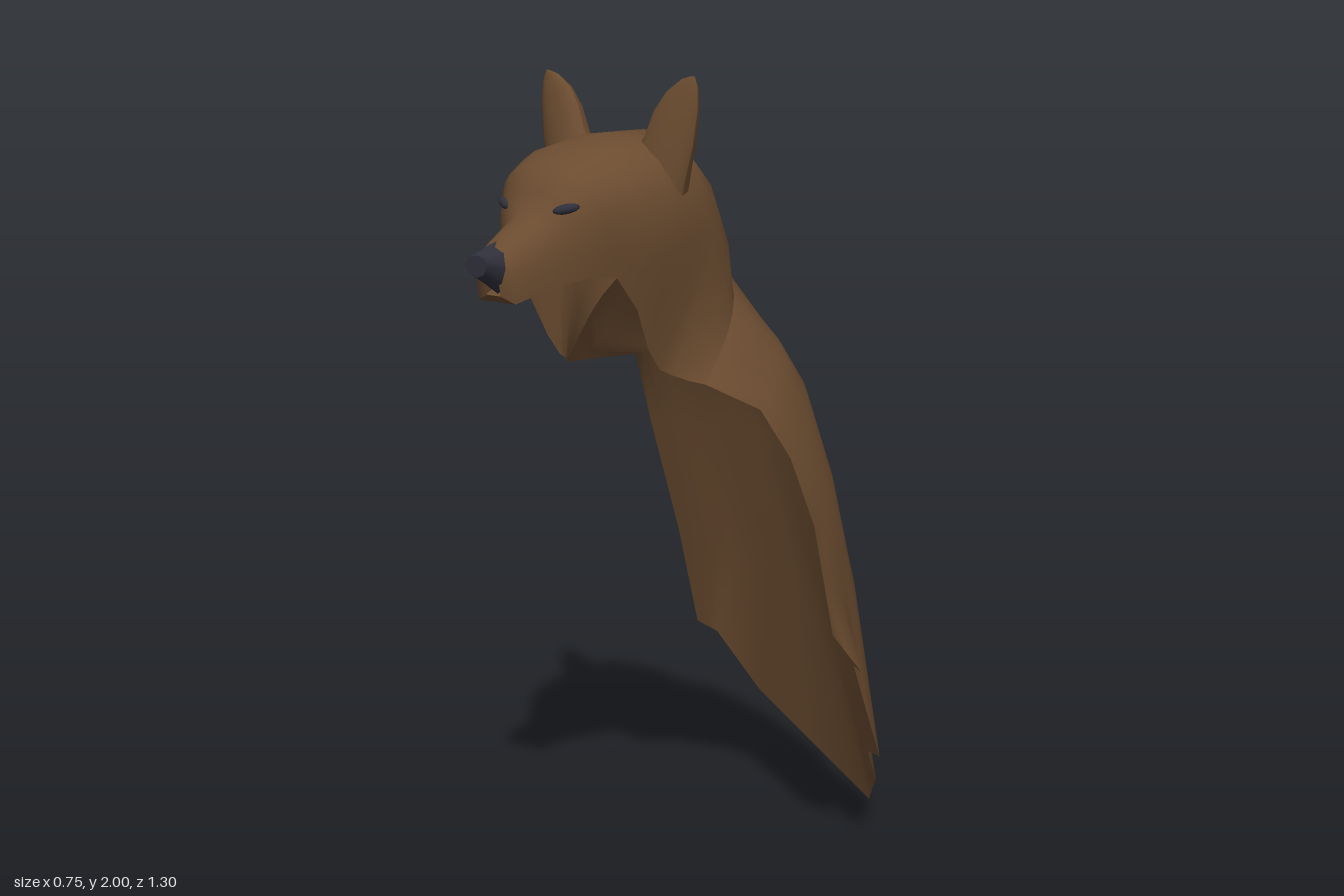
import * as THREE from 'three';

const fur = new THREE.MeshStandardMaterial({ color: 0x6b4c30, side: THREE.DoubleSide });
fur.name = 'brown fur';
const dark = new THREE.MeshStandardMaterial({ color: 0x30303c });
dark.name = 'dark nose and eyes';

const COLS = 18;
const V = (x, y, z) => new THREE.Vector3(x, y, z);

// Smooth open skin through rows of points
function loft(name, rows) {
  const n = rows[0].length, index = [];
  for (let i = 0; i < rows.length - 1; i++) {
    for (let j = 0; j < n - 1; j++) {
      const a = i * n + j, b = a + 1, c = a + n, d = c + 1;
      index.push(a, b, c, b, d, c);
    }
  }
  const geo = new THREE.BufferGeometry().setFromPoints(rows.flat());
  geo.setIndex(index);
  geo.computeVertexNormals();
  const mesh = new THREE.Mesh(geo, fur);
  mesh.name = name;
  return mesh;
}

// The head is turned slightly: dx is the distance from its own middle line
function headPoint(dx, y, z) {
  return V(-0.085 - 0.06 * z + dx, y, z + 0.08 * dx);
}

// Hood arches from nose to neck: ridge z, ridge y, edge z, edge y, half width, cheek bulge
const arches = [
  [0.605, 1.6, 0.6, 1.55, 0.02, 0],
  [0.6, 1.655, 0.59, 1.535, 0.055, 0.1],
  [0.5, 1.71, 0.5, 1.56, 0.075, 0.1],
  [0.475, 1.76, 0.43, 1.578, 0.12, 0.1],
  [0.44, 1.815, 0.37, 1.575, 0.15, 0.15],
  [0.36, 1.85, 0.32, 1.5, 0.165, 0.3],
  [0.24, 1.87, 0.27, 1.4, 0.155, 0.5],
  [0.1, 1.87, 0.23, 1.35, 0.155, 0.5],
  [0.02, 1.8, 0.2, 1.335, 0.165, 0.38],
  [-0.04, 1.68, 0.17, 1.32, 0.19, 0.2],
  [-0.065, 1.57, 0.14, 1.31, 0.215, 0.05],
];

function archPoint([rz, ry, ez, ey, w, bulge], t) {
  const a = Math.PI * t, c = Math.cos(a);
  const rise = Math.pow(Math.max(Math.sin(a), 0), 0.8);
  const side = Math.sign(c) * Math.pow(Math.abs(c), 0.8) + bulge * Math.sin(2 * a);
  return headPoint(-w * side, ey + (ry - ey) * rise, ez + (rz - ez) * rise);
}

const archRow = (s) => Array.from({ length: COLS + 1 }, (_, j) => archPoint(s, j / COLS));

// Cape rows, each a curve through five points from right edge to left edge
const capeCurves = [
  [V(-0.355, 1.29, 0), V(-0.32, 1.38, -0.1), V(-0.1, 1.43, -0.19), V(0.18, 1.37, -0.07), V(0.22, 1.25, 0.08)],
  [V(-0.36, 1.27, -0.22), V(-0.25, 1.3, -0.25), V(-0.04, 1.32, -0.255), V(0.2, 1.26, -0.15), V(0.265, 1.13, 0.02)],
  [V(-0.372, 1.08, -0.3), V(-0.2, 1.08, -0.34), V(0.05, 1.07, -0.34), V(0.25, 1.03, -0.2), V(0.32, 0.97, 0)],
  [V(-0.375, 0.75, -0.43), V(-0.12, 0.7, -0.46), V(0.17, 0.72, -0.4), V(0.29, 0.75, -0.23), V(0.32, 0.78, -0.06)],
];

// Ragged hem
const hem = [
  V(-0.37, 0.47, -0.51), V(-0.29, 0.46, -0.49), V(-0.22, 0.27, -0.6), V(0.11, 0.005, -0.65),
  V(0.25, 0.17, -0.44), V(0.28, 0.29, -0.34), V(0.35, 0.31, -0.28), V(0.315, 0.57, -0.2),
  V(0.375, 0.58, -0.14), V(0.32, 0.68, -0.09),
];

function hemRow() {
  const step = COLS / (hem.length - 1), row = [];
  for (let j = 0; j <= COLS; j++) {
    const k = Math.min(Math.floor(j / step), hem.length - 2);
    row.push(hem[k].clone().lerp(hem[k + 1], j / step - k));
  }
  return row;
}

// Ear levels: inner dx, inner y, outer dx, outer y, z, depth
const earLevels = [
  [0.06, 1.83, 0.19, 1.7, 0.2, 0.07],
  [0.095, 1.87, 0.2, 1.76, 0.2, 0.06],
  [0.115, 1.925, 0.222, 1.85, 0.195, 0.045],
  [0.145, 1.965, 0.232, 1.93, 0.19, 0.028],
  [0.185, 1.992, 0.23, 1.975, 0.188, 0.012],
  [0.215, 2.0, 0.222, 1.998, 0.187, 0.001],
];

function ear(name, side) {
  const group = new THREE.Group();
  group.name = name;
  // Rounded back and shallower front
  for (const [part, k] of [['earBack', -1], ['earFront', 0.6]]) {
    const rows = earLevels.map(([ix, iy, ox, oy, z, d]) =>
      Array.from({ length: 9 }, (_, j) => {
        const f = (1 - Math.cos(Math.PI * j / 8)) / 2;
        const push = k * d * Math.sin(Math.PI * j / 8);
        return headPoint(side * (ix + (ox - ix) * f), iy + (oy - iy) * f, z + push);
      }));
    group.add(loft(part, rows));
  }
  return group;
}

export function createModel() {
  const model = new THREE.Group();
  model.name = 'animalHoodCape';

  const hoodRows = arches.map(archRow);
  model.add(loft('headHood', hoodRows));
  model.add(loft('muzzleUnderside', hoodRows.slice(0, 5).map((r) => [r[0], r[COLS]])));
  model.add(loft('cape', [
    hoodRows[hoodRows.length - 1],
    ...capeCurves.map((p) => new THREE.CatmullRomCurve3(p).getPoints(COLS)),
    hemRow(),
  ]));

  model.add(ear('leftEar', 1), ear('rightEar', -1));

  // Nose: a tapered block with a wide top
  const noseGeo = new THREE.CylinderGeometry(0.034, 0.056, 0.065, 8).rotateX(Math.PI / 2);
  const pos = noseGeo.attributes.position;
  for (let i = 0; i < pos.count; i++) {
    if (pos.getY(i) < 0) pos.setX(i, pos.getX(i) * 0.8);
    if (pos.getZ(i) > 0) pos.setY(i, pos.getY(i) * 0.7 + 0.01);
  }
  noseGeo.computeVertexNormals();
  const nose = new THREE.Mesh(noseGeo, dark);
  nose.name = 'nose';
  nose.position.copy(headPoint(-0.002, 1.608, 0.617));
  model.add(nose);

  // Narrow eyes set into the face, slanting up outwards
  for (const side of [-1, 1]) {
    const eye = new THREE.Mesh(new THREE.SphereGeometry(1, 12, 8), dark);
    eye.name = side > 0 ? 'leftEye' : 'rightEye';
    eye.scale.set(0.03, 0.011, 0.01);
    eye.position.copy(archPoint(arches[3], side > 0 ? 0.71 : 0.29));
    eye.rotation.set(0, side * 0.6, side * 0.2);
    model.add(eye);
  }
  return model;
}
